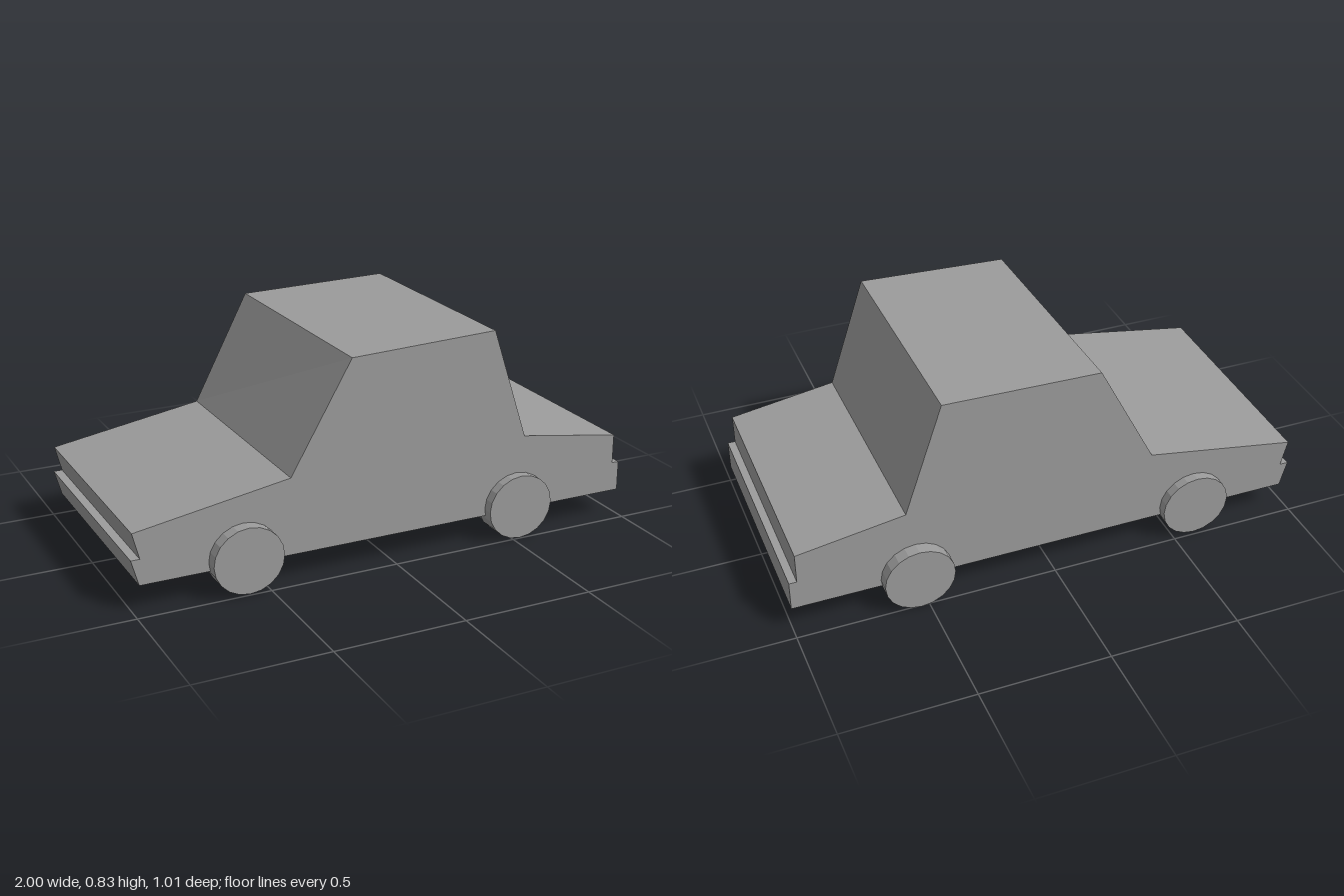
import * as THREE from 'three';

const material = new THREE.MeshStandardMaterial({ color: 0x9b9b9b, flatShading: true });

// Car side outline (x, y), extruded across the width
function makeBody() {
  const outline = [
    [-0.973, 0.1], [1, 0.1], [1, 0.216], [0.971, 0.216], [0.971, 0.332],
    [0.561, 0.395], [0.417, 0.826], [-0.183, 0.813], [-0.402, 0.395],
    [-0.992, 0.297], [-0.967, 0.198], [-1, 0.198],
  ].map(([x, y]) => new THREE.Vector2(x, y));
  const geometry = new THREE.ExtrudeGeometry(new THREE.Shape(outline), { depth: 0.91, bevelEnabled: false });
  geometry.translate(0, 0, -0.455);

  // One roof corner sits slightly lower and inward
  const p = geometry.attributes.position;
  for (let i = 0; i < p.count; i++) {
    if (Math.abs(p.getX(i) + 0.183) < 0.001 && p.getZ(i) > 0) p.setXY(i, -0.163, 0.803);
  }
  geometry.computeVertexNormals();
  const body = new THREE.Mesh(geometry, material);
  body.name = 'body';
  return body;
}

// Slightly flattened wheel with its axle along z
function makeWheel(name, x, y, z) {
  const geometry = new THREE.CylinderGeometry(0.134, 0.134, 0.088, 20);
  geometry.rotateX(Math.PI / 2);
  geometry.scale(1, 0.94, 1);
  const wheel = new THREE.Mesh(geometry, material);
  wheel.name = name;
  wheel.position.set(x, y, z);
  return wheel;
}

export function createModel() {
  const car = new THREE.Group();
  car.name = 'car';
  car.add(makeBody());
  const wheels = [
    ['hoodWheelNear', 0.531, 0.126, 0.451],
    ['hoodWheelFar', 0.531, 0.126, -0.462],
    ['trunkWheelNear', -0.584, 0.133, 0.461],
    ['trunkWheelFar', -0.584, 0.133, -0.449],
  ];
  for (const wheel of wheels) car.add(makeWheel(...wheel));
  return car;
}
